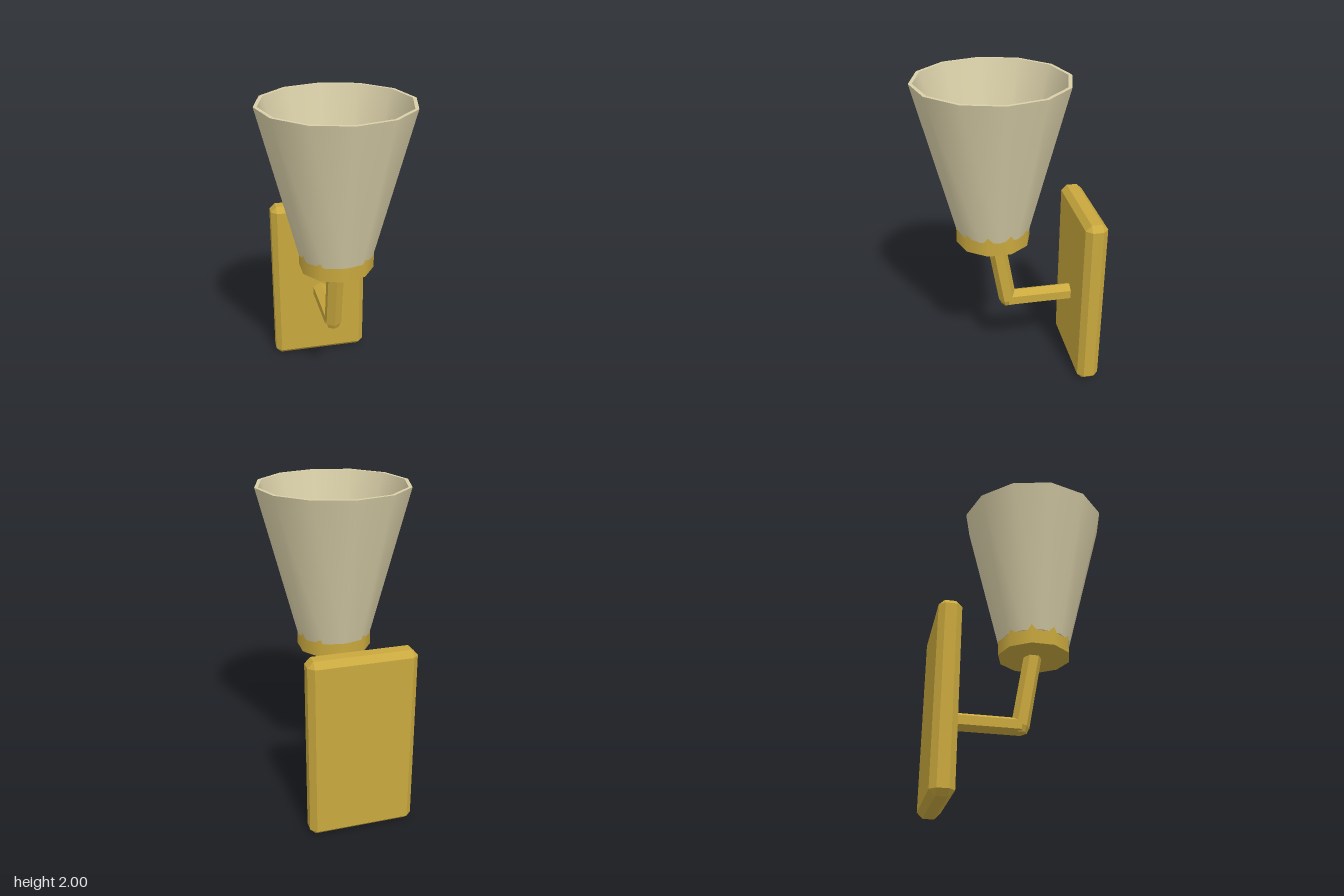
import * as THREE from 'three';
import { mergeGeometries } from 'three/addons/utils/BufferGeometryUtils.js';
import { ConvexGeometry } from 'three/addons/geometries/ConvexGeometry.js';

const material = (name, color, flatShading = false) => {
  const m = new THREE.MeshStandardMaterial({ color, flatShading });
  m.name = name;
  return m;
};

// Box with every edge cut at 45 degrees
function chamferedBox(w, h, d, c) {
  const points = [];
  for (const x of [-w / 2, w / 2])
    for (const y of [-h / 2, h / 2])
      for (const z of [-d / 2, d / 2]) {
        const ix = x - Math.sign(x) * c, iy = y - Math.sign(y) * c, iz = z - Math.sign(z) * c;
        points.push(
          new THREE.Vector3(x, iy, iz),
          new THREE.Vector3(ix, y, iz),
          new THREE.Vector3(ix, iy, z));
      }
  return new ConvexGeometry(points);
}

// Six-sided rod between two points in the plane x = 0
function rod(y0, z0, y1, z1, radius) {
  const length = Math.hypot(y1 - y0, z1 - z0);
  return new THREE.CylinderGeometry(radius, radius, length, 6)
    .rotateX(Math.atan2(z1 - z0, y1 - y0))
    .translate(0, (y0 + y1) / 2, (z0 + z1) / 2);
}

export function createModel() {
  const group = new THREE.Group();
  const brass = material('brass', 0xc9a83e);
  const glass = material('cream shade', 0xd9cfa8);
  const white = material('warm white bulb', 0xebe6d6);

  const add = (name, geometry, mat, x = 0, y = 0, z = 0) => {
    const mesh = new THREE.Mesh(geometry, mat);
    mesh.name = name;
    mesh.position.set(x, y, z);
    group.add(mesh);
    return mesh;
  };

  // Wall plate
  add('wallPlate', chamferedBox(0.65, 1.165, 0.14, 0.036), brass, 0, 0.5825, -0.49);

  // Bent arm: level rod, elbow and leaning rod
  const r = 0.057;
  const faceted = (g) => {
    const flat = g.toNonIndexed();
    flat.computeVertexNormals();
    return flat;
  };
  add('armLevel', faceted(rod(0.517, -0.44, 0.517, 0, r)), brass);
  add('armElbow', faceted(new THREE.SphereGeometry(r, 6, 4).rotateY(Math.PI / 2)), brass, 0, 0.517, 0);
  add('armUpright', faceted(rod(0.517, 0, 1.0, 0.083, r)), brass);

  // Ten-sided cup under the shade
  const axisZ = 0.09;
  add('cup', new THREE.CylinderGeometry(0.232, 0.232, 0.135, 10), brass, 0, 1.0475, axisZ);

  // Open twelve-sided shade: outside, rim, inside and lower edge as separate strips
  const profile = [[0.231, 1.07], [0.466, 2], [0.444, 2], [0.209, 1.07], [0.231, 1.07]]
    .map(([x, y]) => new THREE.Vector2(x, y));
  const strips = [];
  for (let i = 0; i < 4; i++)
    strips.push(new THREE.LatheGeometry([profile[i], profile[i + 1]], 12));
  add('shade', mergeGeometries(strips), glass, 0, 0, axisZ);

  // Bulb
  add('bulb', new THREE.SphereGeometry(0.155, 8, 6), white, 0, 1.24, axisZ);

  return group;
}
